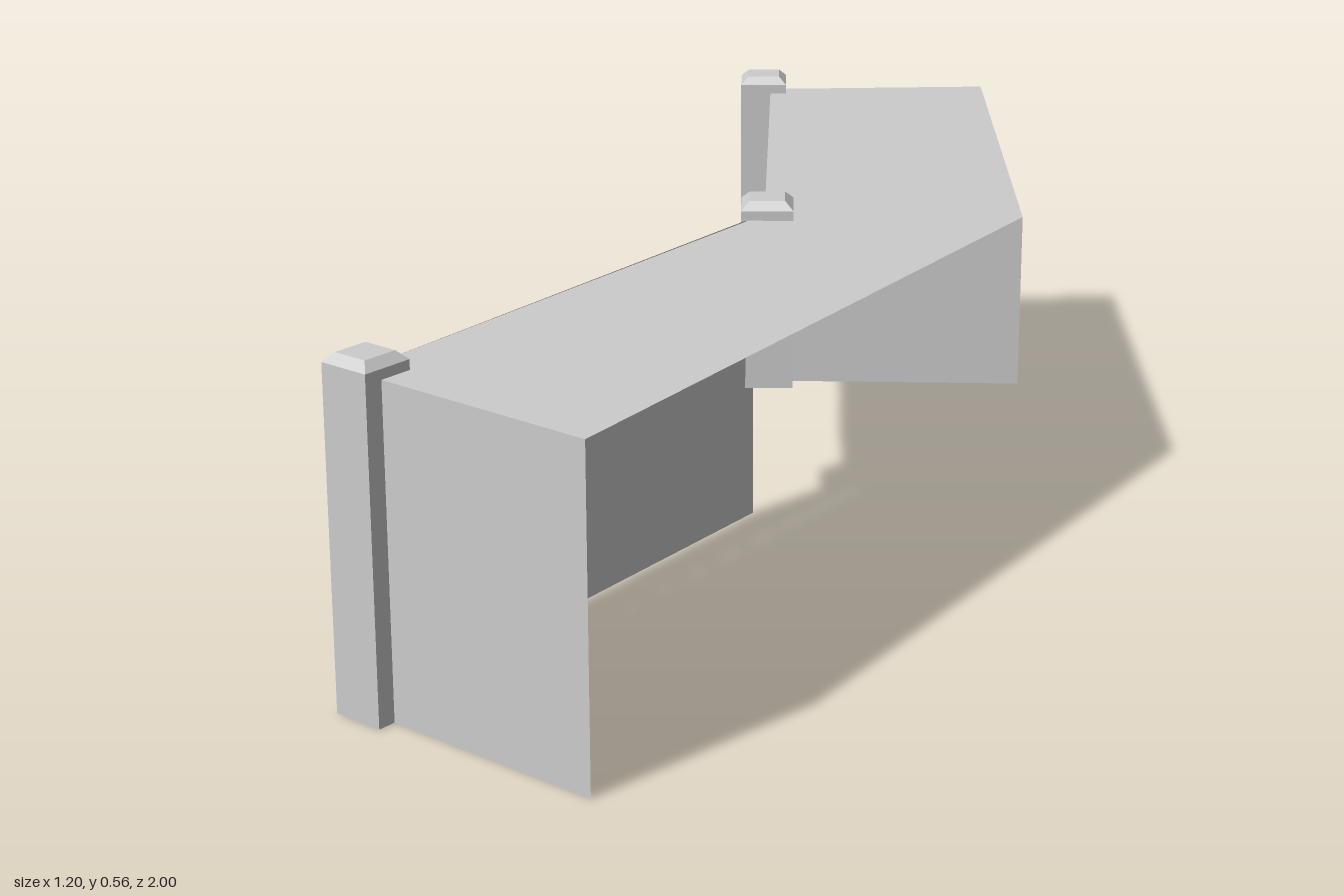
import * as THREE from 'three';

const TOP = 0.525;
const LOW = 0.233; // underside of the raised rear section

// Plan corners [x, z]
const rearOuter = [-0.236, -1.0];
const rearInner = [-0.527, -0.71];
const bendOuter = [0.385, -0.305];
const bendInner = [0.057, -0.03];
const bendFoot = [0.056, -0.004];
const frontOuter = [0.6, 0.943];
const frontInner = [0.166, 0.965];

const sheet = new THREE.MeshStandardMaterial({ color: 0xcccccc, side: THREE.DoubleSide, flatShading: true });
const solid = new THREE.MeshStandardMaterial({ color: 0xcccccc, flatShading: true });

// Flat four-cornered panel
function quad(name, a, b, c, d) {
  const geo = new THREE.BufferGeometry();
  geo.setAttribute('position', new THREE.Float32BufferAttribute([...a, ...b, ...c, ...d], 3));
  geo.setIndex([0, 1, 2, 0, 2, 3]);
  geo.computeVertexNormals();
  const mesh = new THREE.Mesh(geo, sheet);
  mesh.name = name;
  return mesh;
}

// Vertical wall between two plan corners
function wall(name, p, q, bottom) {
  return quad(name, [p[0], bottom, p[1]], [q[0], bottom, q[1]], [q[0], TOP, q[1]], [p[0], TOP, p[1]]);
}

// Horizontal slab surface, corners given anticlockwise from above
function deck(name, ...corners) {
  return quad(name, ...corners.map(([x, z]) => [x, TOP, z]));
}

// Square corner post with a bevelled cap
function post(name, x, z, bottom, angle) {
  const group = new THREE.Group();
  group.name = name;
  const width = 0.087, shaftTop = 0.541, capTop = 0.555;
  const shaft = new THREE.Mesh(new THREE.BoxGeometry(width, shaftTop - bottom, width), solid);
  shaft.name = 'postShaft';
  shaft.position.y = (shaftTop + bottom) / 2;
  const r = width * Math.SQRT1_2;
  const capGeo = new THREE.CylinderGeometry(r * 0.68, r, capTop - shaftTop, 4).rotateY(Math.PI / 4);
  const cap = new THREE.Mesh(capGeo, solid);
  cap.name = 'postCap';
  cap.position.y = (shaftTop + capTop) / 2;
  group.add(shaft, cap);
  group.position.set(x, 0, z);
  group.rotation.y = THREE.MathUtils.degToRad(angle);
  return group;
}

export function createModel() {
  const model = new THREE.Group();
  model.name = 'bentWall';
  model.add(
    // Raised rear section, open along its outer side
    deck('rearTop', rearOuter, rearInner, bendInner, bendOuter),
    wall('rearEndWall', rearOuter, rearInner, LOW),
    wall('rearInnerWall', rearInner, bendInner, LOW),
    wall('dividingWall', bendInner, bendOuter, LOW),
    // Full-height front section, open along its outer side
    deck('frontTop', bendOuter, bendInner, frontInner, frontOuter),
    wall('frontInnerWall', bendFoot, frontInner, 0),
    wall('frontEndWall', frontInner, frontOuter, 0),
    // Posts on the inner corners
    post('rearPost', -0.542, -0.707, LOW, -49),
    post('bendPost', 0.057, -0.037, LOW, -49),
    post('frontPost', 0.176, 0.952, 0, 3)
  );
  return model;
}
